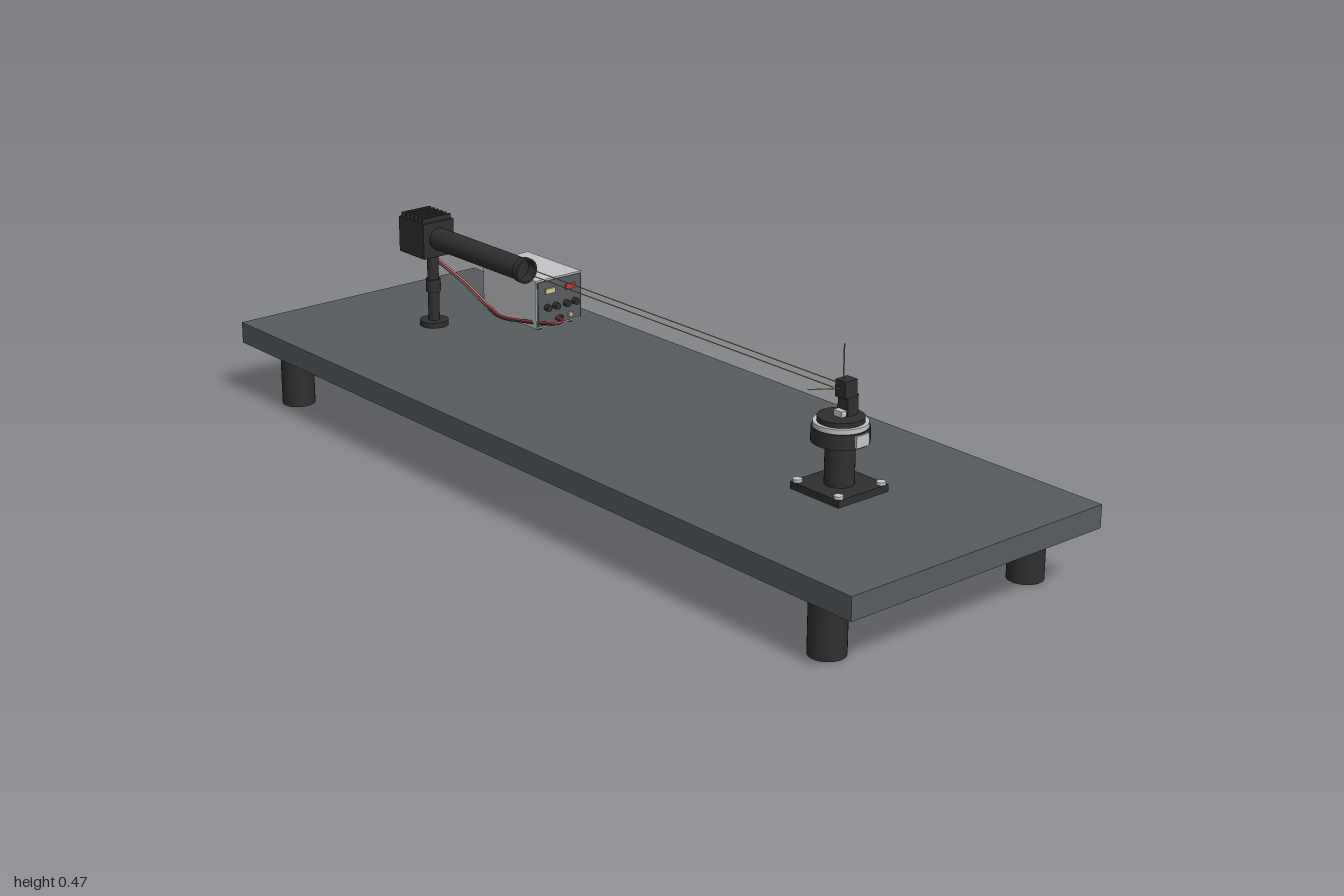
import * as THREE from 'three';

const mat = (name, color) => {
  const m = new THREE.MeshStandardMaterial({ color });
  m.name = name;
  return m;
};

export function createModel() {
  const root = new THREE.Group();
  const slate = mat('slate', 0x575c5f), black = mat('black', 0x2f2f2f), silver = mat('silver', 0xc2c4c8);
  const cream = mat('cream', 0xd2c493), red = mat('red', 0xc8383a), rayTan = mat('rayTan', 0xb5a66a);
  const grey = mat('grey', 0x85898e);

  const add = (name, geo, m, x, y, z, parent = root) => {
    const mesh = new THREE.Mesh(geo, m);
    mesh.name = name;
    mesh.position.set(x, y, z);
    parent.add(mesh);
    return mesh;
  };
  // box from min and max corners
  const box = (name, m, x0, x1, y0, y1, z0, z1, parent) =>
    add(name, new THREE.BoxGeometry(x1 - x0, y1 - y0, z1 - z0), m,
      (x0 + x1) / 2, (y0 + y1) / 2, (z0 + z1) / 2, parent);
  // upright cylinder between two heights
  const post = (name, m, r, y0, y1, x, z, parent) =>
    add(name, new THREE.CylinderGeometry(r, r, y1 - y0, 32), m, x, (y0 + y1) / 2, z, parent);
  // cylinder between two points
  const rod = (name, m, r, a, b, parent = root, seg = 24) => {
    const p = new THREE.Vector3(...a), d = new THREE.Vector3(...b).sub(p);
    const mesh = add(name, new THREE.CylinderGeometry(r, r, d.length(), seg), m, 0, 0, 0, parent);
    mesh.position.copy(p).addScaledVector(d, 0.5);
    mesh.quaternion.setFromUnitVectors(new THREE.Vector3(0, 1, 0), d.normalize());
    return mesh;
  };
  const group = (name) => {
    const g = new THREE.Group();
    g.name = name;
    root.add(g);
    return g;
  };

  // Bench
  box('tableTop', slate, -1, 1, 0.126, 0.175, -0.333, 0.333);
  for (const x of [-0.875, 0.875])
    for (const z of [-0.267, 0.267]) post('leg', black, 0.0375, 0, 0.126, x, z);

  // Light source on its stand
  const lamp = group('lamp');
  post('standBase', black, 0.033, 0.175, 0.187, -0.706, 0, lamp);
  post('standPost', black, 0.013, 0.187, 0.345, -0.706, 0, lamp);
  post('standCollar', black, 0.017, 0.255, 0.285, -0.706, 0, lamp);
  post('standRod', silver, 0.008, 0.285, 0.344, -0.706, 0, lamp);
  box('lampHousing', black, -0.775, -0.68, 0.343, 0.425, -0.042, 0.042, lamp);
  for (let i = 0; i < 6; i++) {
    const x = -0.768 + i * 0.0152;
    box('coolingFin', black, x, x + 0.006, 0.425, 0.436, -0.039, 0.039, lamp);
  }
  box('cableSocket', black, -0.793, -0.775, 0.358, 0.374, -0.012, 0.006, lamp);

  // Hollow barrel, turned about the x axis
  const profile = [[0.0005, 0], [0.0255, 0], [0.0255, 0.31], [0.0285, 0.31], [0.0285, 0.325],
    [0.024, 0.325], [0.024, 0.3], [0.0005, 0.3]];
  const barrelGeo = new THREE.LatheGeometry(profile.map(([r, h]) => new THREE.Vector2(r, h)), 40).toNonIndexed();
  barrelGeo.computeVertexNormals();
  const barrel = add('barrel', barrelGeo, black, -0.68, 0.385, 0, lamp);
  barrel.rotation.z = -Math.PI / 2;

  // Light rays
  for (const z of [-0.013, 0.013])
    rod('lightRay', rayTan, 0.0012, [-0.38, 0.386, z], [0.615, 0.386, z], root, 8);
  rod('reflectedRay', rayTan, 0.0012, [0.63, 0.385, 0], [0.592, 0.385, 0.058], root, 8);

  // Power supply with its front panel on +x
  const supply = group('powerSupply');
  box('supplyCase', silver, -0.705, -0.507, 0.182, 0.296, -0.273, -0.142, supply);
  box('frontPanel', slate, -0.507, -0.504, 0.186, 0.292, -0.269, -0.146, supply);
  for (const x of [-0.685, -0.527])
    for (const z of [-0.252, -0.163]) post('foot', black, 0.008, 0.175, 0.182, x, z, supply);
  box('creamDisplay', cream, -0.504, -0.5, 0.262, 0.274, -0.193, -0.166, supply);
  box('redDisplay', red, -0.504, -0.5, 0.262, 0.274, -0.251, -0.224, supply);
  for (const z of [-0.17, -0.195, -0.225, -0.25])
    rod('knob', black, 0.0078, [-0.504, 0.23, z], [-0.492, 0.23, z], supply);
  rod('outputJack', black, 0.005, [-0.504, 0.2, -0.208], [-0.494, 0.2, -0.208], supply);
  box('creamSwitch', cream, -0.504, -0.499, 0.195, 0.205, -0.242, -0.232, supply);

  // Twin supply cable
  const path = [[-0.786, 0.364, -0.006], [-0.792, 0.345, -0.02], [-0.768, 0.3, -0.06], [-0.72, 0.25, -0.1],
    [-0.662, 0.2, -0.125], [-0.604, 0.193, -0.116], [-0.53, 0.195, -0.14], [-0.474, 0.198, -0.172],
    [-0.47, 0.2, -0.188], [-0.505, 0.2, -0.198]];
  [[red, 0.0015, 'redCable'], [black, -0.0015, 'blackCable']].forEach(([m, o, name]) => {
    const curve = new THREE.CatmullRomCurve3(path.map(([x, y, z]) => new THREE.Vector3(x + o, y + o, z - o)));
    add(name, new THREE.TubeGeometry(curve, 80, 0.0026, 8), m, 0, 0, 0);
  });

  // Rotary stage
  const stage = group('rotaryStage'), cx = 0.625;
  box('stageBase', black, cx - 0.067, cx + 0.067, 0.175, 0.19, -0.067, 0.067, stage);
  for (const x of [-1, 1])
    for (const z of [-1, 1]) post('baseScrew', silver, 0.0095, 0.19, 0.196, cx + x * 0.057, z * 0.057, stage);
  post('stagePost', black, 0.03, 0.19, 0.278, cx, 0, stage);
  post('stageBody', black, 0.058, 0.278, 0.309, cx, 0, stage);
  post('scaleRing', silver, 0.055, 0.309, 0.319, cx, 0, stage);
  post('turntable', black, 0.047, 0.319, 0.329, cx, 0, stage);
  box('vernierBlock', silver, cx + 0.05, cx + 0.061, 0.281, 0.306, -0.017, 0.017, stage);
  // Side adjuster, pointing back and to the right
  const along = (d) => [cx - d * Math.SQRT1_2, 0.293, -d * Math.SQRT1_2];
  rod('adjusterShaft', silver, 0.007, along(0.05), along(0.1), stage);
  rod('adjusterKnob', black, 0.0095, along(0.095), along(0.118), stage);

  // Mirror mount
  const mount = group('mirrorMount');
  box('mountArm', black, cx - 0.012, cx + 0.016, 0.329, 0.37, -0.03, -0.002, mount);
  box('mountFoot', silver, cx - 0.01, cx + 0.012, 0.329, 0.341, -0.002, 0.011, mount);
  box('mirrorHolder', black, cx - 0.01, cx + 0.018, 0.367, 0.402, -0.024, 0.008, mount);
  rod('axisPin', grey, 0.0014, [cx + 0.004, 0.4, 0], [cx + 0.004, 0.475, 0], mount, 8);

  return root;
}
